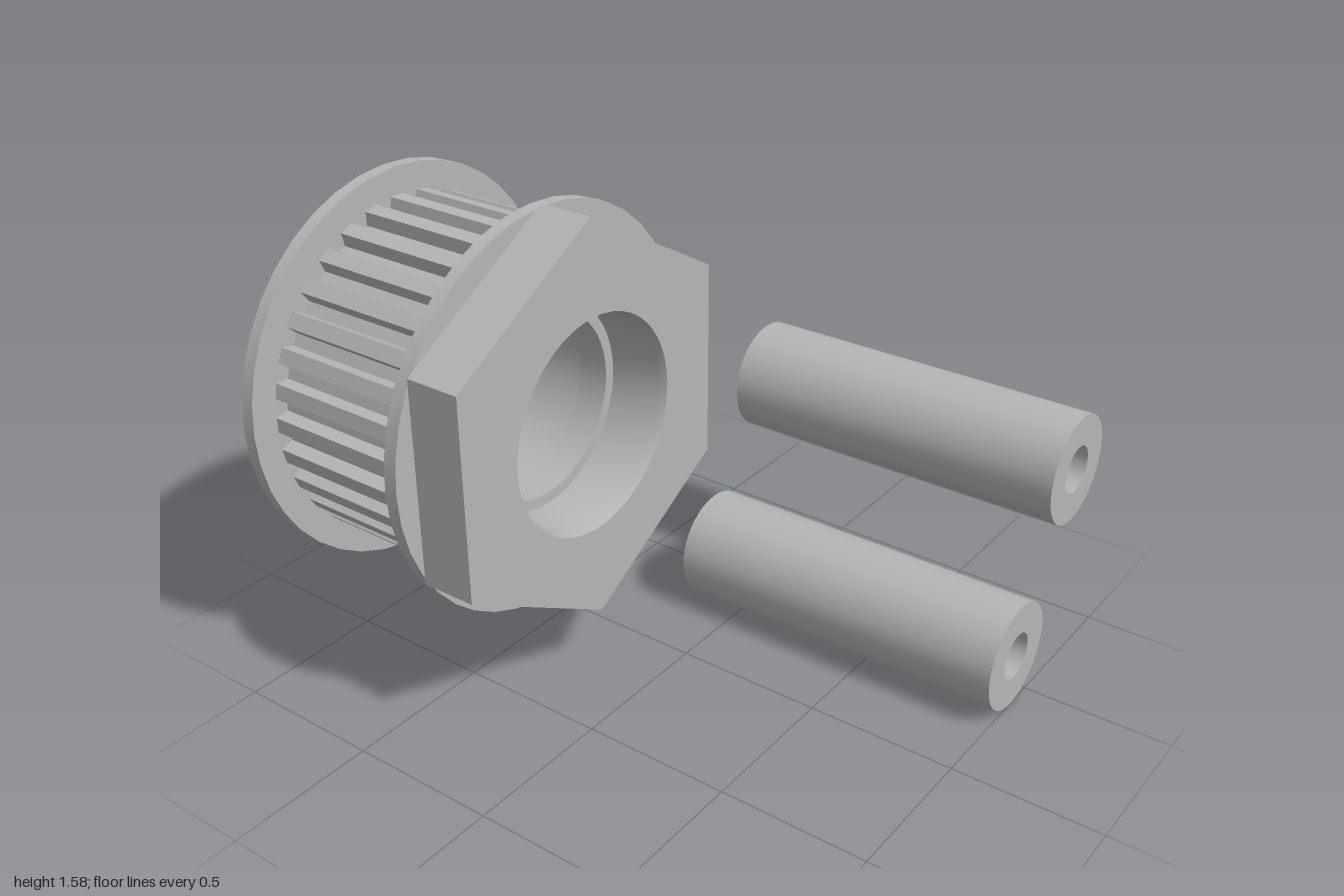
import * as THREE from 'three';
import { toCreasedNormals } from 'three/addons/utils/BufferGeometryUtils.js';

export function createModel() {
  const model = new THREE.Group();
  const grey = new THREE.MeshStandardMaterial({ color: 0xb6b6b6 });
  grey.name = 'machined grey';

  const add = (parent, name, geometry) => {
    const mesh = new THREE.Mesh(geometry, grey);
    mesh.name = name;
    parent.add(mesh);
    return mesh;
  };

  // Ring turned about z from a closed counterclockwise [radius, z] profile
  const turned = (profile, segments) => {
    const points = [...profile, profile[0]].map(([r, z]) => new THREE.Vector2(r, z));
    const geometry = new THREE.LatheGeometry(points, segments).rotateX(Math.PI / 2);
    return toCreasedNormals(geometry, 0.4);
  };
  const ring = (inner, outer, z0, z1, segments) =>
    turned([[inner, z0], [outer, z0], [outer, z1], [inner, z1]], segments);

  // Outline extruded along z with a round hole
  const plate = (points, hole, z0, z1) => {
    const shape = new THREE.Shape(points);
    const path = new THREE.Path();
    path.absarc(0, 0, hole, 0, Math.PI * 2, true);
    shape.holes.push(path);
    return new THREE.ExtrudeGeometry(shape, {
      depth: z1 - z0, bevelEnabled: false, curveSegments: 24,
    }).translate(0, 0, z0);
  };
  const polar = (r, a) => new THREE.Vector2(r * Math.cos(a), r * Math.sin(a));

  // Pulley
  const pulley = new THREE.Group();
  pulley.name = 'pulley';
  pulley.position.set(-0.23, 0.908, 0);
  model.add(pulley);

  const hex = [];
  for (let i = 0; i < 6; i++) hex.push(polar(0.674, Math.PI / 2 + i * Math.PI / 3));
  add(pulley, 'hexHub', plate(hex, 0.42, -0.355, -0.17));

  add(pulley, 'frontFlange', ring(0.42, 0.664, -0.4, -0.355, 40));
  add(pulley, 'backFlange', ring(0.326, 0.664, -1, -0.955, 40));

  // Toothed drum: narrow lands with tapered grooves between
  const teeth = 32, pitch = Math.PI * 2 / teeth, drum = [];
  for (let i = 0; i < teeth; i++) {
    const a = Math.PI / 2 + i * pitch;
    drum.push(polar(0.573, a - 0.22 * pitch), polar(0.573, a + 0.22 * pitch),
      polar(0.528, a + 0.31 * pitch), polar(0.528, a + 0.69 * pitch));
  }
  add(pulley, 'toothedDrum', plate(drum, 0.42, -0.955, -0.4));

  // Stepped bore with a chamfered mouth and an inner lip
  add(pulley, 'boreSleeve', turned([
    [0.326, -0.955], [0.42, -0.955], [0.42, -0.17], [0.36, -0.17], [0.35, -0.2],
    [0.345, -0.38], [0.308, -0.38], [0.308, -0.49], [0.326, -0.49],
  ], 48));

  // Loose spacer tubes
  [['upperSpacer', 0.708, 0.72], ['lowerSpacer', 0.4, 0.184]].forEach(([name, x, y]) => {
    add(model, name, ring(0.08, 0.184, -0.17, 1, 40)).position.set(x, y, 0);
  });

  return model;
}
